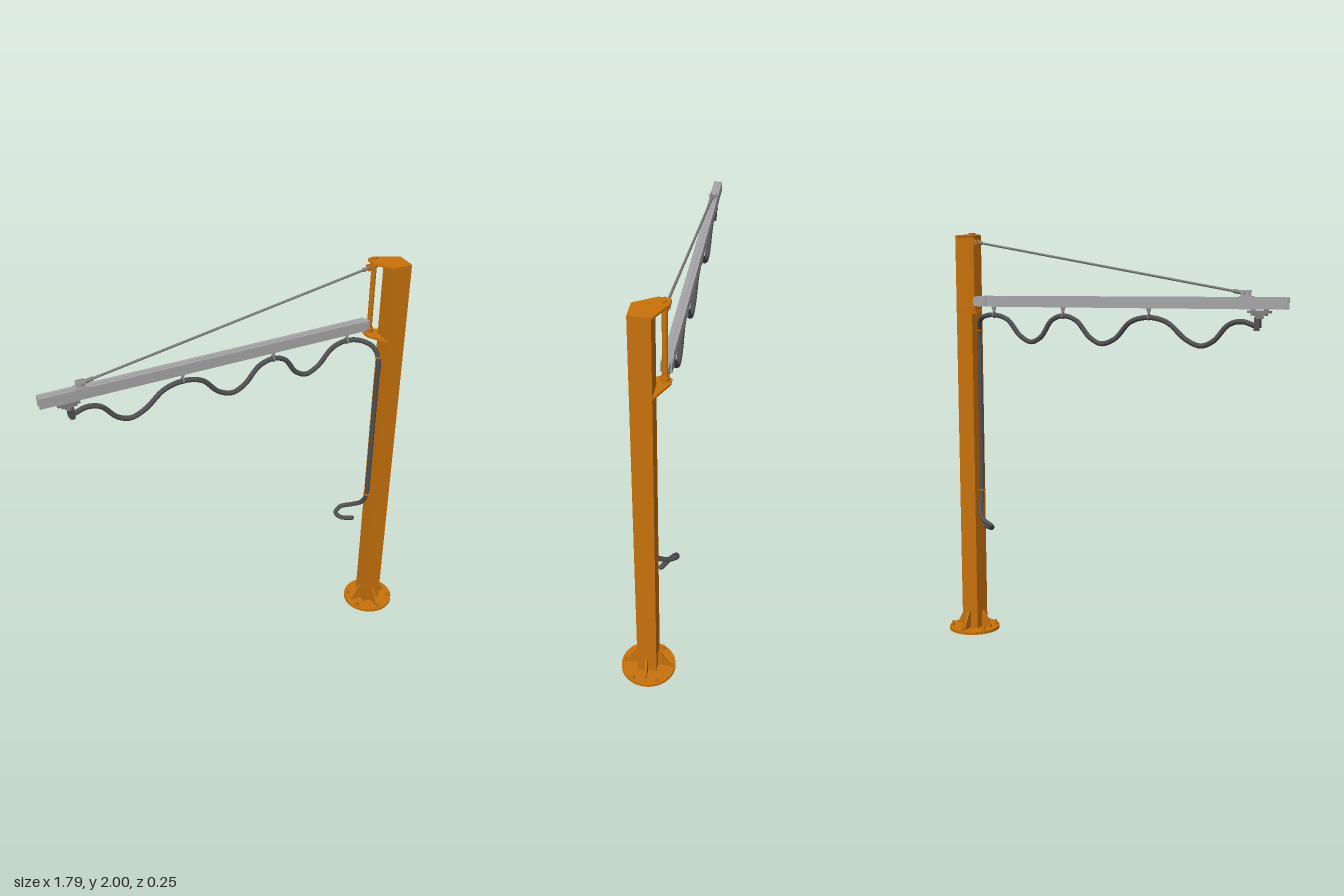
import * as THREE from 'three';

const mat = (color) => new THREE.MeshStandardMaterial({ color });
const ORANGE = mat(0xc8720c), GREY = mat(0xa6a6a8), STEEL = mat(0x808080), DARK = mat(0x505052);
const V = (x, y, z) => new THREE.Vector3(x, y, z);
const PX = 0.762;      // column axis
const AZ = -0.075;     // arm plane
const HX = 0.688;      // hinge axis

export function createModel() {
  const root = new THREE.Group();

  const add = (name, geo, material, x = 0, y = 0, z = 0, parent = root) => {
    const m = new THREE.Mesh(geo, material);
    m.name = name;
    m.position.set(x, y, z);
    parent.add(m);
    return m;
  };
  const box = (name, w, h, d, material, x, y, z, parent) =>
    add(name, new THREE.BoxGeometry(w, h, d), material, x, y, z, parent);
  const cyl = (name, r, h, material, x, y, z, sides = 16, r2 = r) =>
    add(name, new THREE.CylinderGeometry(r, r2, h, sides), material, x, y, z);
  const rod = (name, a, b, r, material, sides = 12) => {
    const m = add(name, new THREE.CylinderGeometry(r, r, a.distanceTo(b), sides), material);
    m.position.copy(a).lerp(b, 0.5);
    m.quaternion.setFromUnitVectors(V(0, 1, 0), b.clone().sub(a).normalize());
    return m;
  };
  const extrude = (points, depth, holes = []) => {
    const s = new THREE.Shape(points.map(([x, y]) => new THREE.Vector2(x, y)));
    s.holes = holes;
    return new THREE.ExtrudeGeometry(s, { depth, bevelEnabled: false });
  };

  // Base plate and column
  cyl('basePlate', 0.127, 0.014, ORANGE, PX + 0.003, 0.007, 0, 48);
  box('column', 0.09, 1.98, 0.09, ORANGE, PX, 1.0, 0);

  // Gussets on each column face, bolts around the plate
  const gusset = extrude([[0.043, 0], [0.098, 0], [0.098, 0.015], [0.058, 0.085], [0.043, 0.085]], 0.01);
  gusset.translate(0, 0, -0.005);
  for (let i = 0; i < 4; i++) {
    add('gusset', gusset, ORANGE, PX, 0.013, 0).rotation.y = i * Math.PI / 2;
  }
  for (let i = 0; i < 6; i++) {
    const a = Math.PI / 6 + i * Math.PI / 3;
    const x = PX + 0.003 + 0.11 * Math.cos(a), z = 0.11 * Math.sin(a);
    cyl('anchorNut', 0.009, 0.01, ORANGE, x, 0.019, z, 6);
    cyl('anchorBolt', 0.005, 0.026, ORANGE, x, 0.027, z, 10);
  }

  // Hinge plates wrapping the column corner (shape is drawn as x, -z)
  const plate = extrude([[0.717, -0.045], [0.807, -0.045], [0.807, 0.048], [0.7, 0.1],
    [0.672, 0.1], [0.662, 0.088], [0.662, 0.045]], 0.01);
  plate.rotateX(-Math.PI / 2);
  add('upperHingePlate', plate, ORANGE, 0, 1.983, 0);
  add('lowerHingePlate', plate, ORANGE, 0, 1.62, 0);

  // Hinge tube with bearing collars and bolt heads
  cyl('hingeTube', 0.012, 0.34, ORANGE, HX, 1.807, AZ);
  for (const y of [1.643, 1.968]) cyl('hingeCollar', 0.018, 0.02, ORANGE, HX, y, AZ, 20);
  for (const y of [1.615, 1.996]) {
    cyl('hingeBolt', 0.009, 0.009, ORANGE, HX, y, AZ, 6);
    for (const s of [-1, 1]) cyl('bearingBolt', 0.004, 0.008, ORANGE, HX + s * 0.016, y, AZ, 6);
  }

  // Arm: hollow rail, slotted along its underside
  const W = 0.02, T = 0.004, S = 0.006;
  const rail = extrude([[-W, 0], [-S, 0], [-S, T], [-W + T, T], [-W + T, 0.05 - T], [W - T, 0.05 - T],
    [W - T, T], [S, T], [S, 0], [W, 0], [W, 0.05], [-W, 0.05]], 1.55);
  rail.rotateY(Math.PI / 2);
  add('armRail', rail, GREY, -0.895, 1.65, AZ);
  box('railTopRib', 1.5, 0.003, 0.008, GREY, -0.13, 1.7005, AZ);
  for (const s of [-1, 1]) box('armRootPlate', 0.06, 0.046, 0.005, GREY, 0.635, 1.675, AZ + s * 0.021);
  box('armRootBlock', 0.036, 0.04, 0.026, GREY, 0.662, 1.675, AZ);

  // Tie rod with a clevis at each end
  const a = V(-0.705, 1.718, AZ), b = V(0.67, 1.958, AZ);
  const dir = b.clone().sub(a).normalize();
  rod('tieRod', a, b, 0.0055, STEEL);
  rod('outerTurnbuckle', a.clone().addScaledVector(dir, 0.015), a.clone().addScaledVector(dir, 0.055), 0.009, STEEL);
  rod('innerTurnbuckle', b.clone().addScaledVector(dir, -0.04), b.clone().addScaledVector(dir, -0.01), 0.009, STEEL);
  for (const s of [-1, 1]) {
    box('outerClevis', 0.04, 0.032, 0.005, GREY, -0.708, 1.715, AZ + s * 0.011);
    box('innerClevis', 0.03, 0.022, 0.005, ORANGE, 0.668, 1.957, AZ + s * 0.011);
  }
  box('outerClevisFoot', 0.06, 0.005, 0.036, GREY, -0.71, 1.7025, AZ);
  for (const p of [a, b]) rod('clevisPin', V(p.x, p.y, AZ - 0.02), V(p.x, p.y, AZ + 0.02), 0.005, STEEL);

  // Outer trolley carrying the hose outlet
  box('trolleyPlate', 0.1, 0.01, 0.034, STEEL, -0.77, 1.639, AZ);
  box('trolleyNeck', 0.07, 0.012, 0.028, STEEL, -0.768, 1.629, AZ);
  cyl('trolleySwivel', 0.018, 0.014, STEEL, -0.768, 1.617, AZ);
  box('outletBlock', 0.026, 0.045, 0.024, DARK, -0.762, 1.594, AZ);
  cyl('outletNozzle', 0.013, 0.02, DARK, -0.757, 1.569, AZ);
  for (const x of [-0.8, -0.74]) box('trolleyHanger', 0.02, 0.024, 0.01, STEEL, x, 1.65, AZ);

  // Hose hangers under the rail
  for (const x of [-0.25, 0.19, 0.57]) {
    cyl('hangerStem', 0.012, 0.024, GREY, x, 1.638, AZ, 12, 0.005);
    const ring = add('hangerRing', new THREE.TorusGeometry(0.013, 0.004, 8, 18), STEEL, x, 1.612, AZ);
    ring.rotation.y = Math.PI / 2;
  }

  // Hose: festooned under the rail, down the column, curled free end
  const pts = [
    [-0.755, 1.578], [-0.69, 1.597], [-0.63, 1.582], [-0.56, 1.51], [-0.5, 1.488], [-0.43, 1.515],
    [-0.34, 1.588], [-0.25, 1.609], [-0.16, 1.588], [-0.08, 1.51], [-0.01, 1.486], [0.05, 1.515],
    [0.12, 1.59], [0.19, 1.611], [0.25, 1.59], [0.31, 1.51], [0.365, 1.486], [0.425, 1.515],
    [0.495, 1.59], [0.57, 1.611], [0.64, 1.601, -0.06], [0.685, 1.575, -0.025], [0.703, 1.52, 0],
    [0.704, 1.4, 0], [0.704, 1.1, 0], [0.704, 0.8, 0], [0.704, 0.72, -0.004], [0.695, 0.66, -0.03],
    [0.665, 0.622, -0.075], [0.62, 0.598, -0.11], [0.588, 0.576, -0.1], [0.603, 0.559, -0.075], [0.655, 0.557, -0.045],
  ].map(([x, y, z = AZ]) => V(x, y, z));
  const path = new THREE.CatmullRomCurve3(pts, false, 'centripetal');
  add('hose', new THREE.TubeGeometry(path, 320, 0.0115, 12, false), DARK);
  for (const p of [pts[0], pts[pts.length - 1]]) add('hoseEnd', new THREE.SphereGeometry(0.0115, 12, 8), DARK, p.x, p.y, p.z);

  // Clips holding the hose to the column
  for (const y of [1.53, 0.73]) {
    const clip = add('hoseClip', new THREE.TorusGeometry(0.013, 0.004, 8, 18), ORANGE, 0.703, y, 0);
    clip.rotation.x = Math.PI / 2;
  }
  return root;
}
